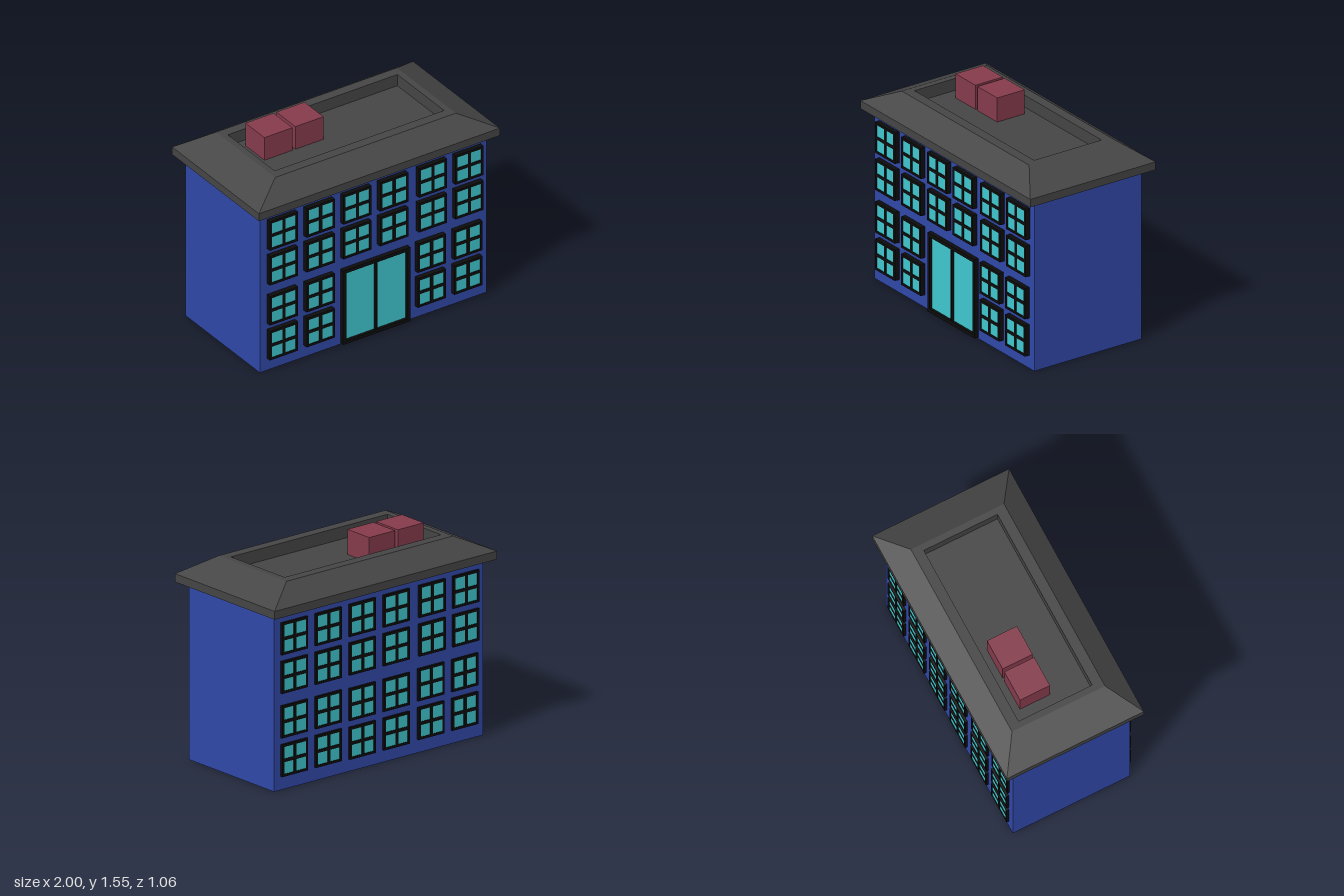
import * as THREE from 'three';

const paint = (color) => new THREE.MeshStandardMaterial({ color });

// Closed solid skinned through a stack of rectangles [halfX, y, halfZ]
function rectLoft(rings) {
  const pos = [];
  const corners = rings.map(([x, y, z]) => [[-x, y, z], [x, y, z], [x, y, -z], [-x, y, -z]]);
  const quad = (a, b, c, d) => pos.push(...a, ...b, ...c, ...a, ...c, ...d);
  for (let r = 0; r < corners.length - 1; r++) {
    for (let i = 0; i < 4; i++) {
      const j = (i + 1) % 4;
      quad(corners[r][i], corners[r][j], corners[r + 1][j], corners[r + 1][i]);
    }
  }
  const first = corners[0], last = corners[corners.length - 1];
  quad(first[3], first[2], first[1], first[0]);
  quad(last[0], last[1], last[2], last[3]);
  const geo = new THREE.BufferGeometry();
  geo.setAttribute('position', new THREE.Float32BufferAttribute(pos, 3));
  geo.computeVertexNormals();
  return geo;
}

// Frame centred on the origin, with cols x rows openings, back face at z = 0
function frameGeometry(w, h, depth, cols, rows, border, barX, barY) {
  const shape = new THREE.Shape([[-1, -1], [1, -1], [1, 1], [-1, 1]]
    .map(([x, y]) => new THREE.Vector2(x * w / 2, y * h / 2)));
  const pw = (w - 2 * border - (cols - 1) * barX) / cols;
  const ph = (h - 2 * border - (rows - 1) * barY) / rows;
  for (let c = 0; c < cols; c++) {
    for (let r = 0; r < rows; r++) {
      const x = -w / 2 + border + c * (pw + barX);
      const y = -h / 2 + border + r * (ph + barY);
      shape.holes.push(new THREE.Path([[x, y], [x, y + ph], [x + pw, y + ph], [x + pw, y]]
        .map(([a, b]) => new THREE.Vector2(a, b))));
    }
  }
  return new THREE.ExtrudeGeometry(shape, { depth, bevelEnabled: false });
}

export function createModel() {
  const model = new THREE.Group();
  const blue = paint(0x3048a8), grey = paint(0x454545), black = paint(0x0c0c0c);
  const cyan = paint(0x40c8d0), red = paint(0x853b4c);

  const add = (parent, name, geo, mat, x = 0, y = 0, z = 0) => {
    const mesh = new THREE.Mesh(geo, mat);
    mesh.name = name;
    mesh.position.set(x, y, z);
    parent.add(mesh);
    return mesh;
  };

  // Main block
  const wallZ = 0.453;
  add(model, 'walls', new THREE.BoxGeometry(1.88, 1.28, wallZ * 2), blue, 0, 0.64, 0);

  // Hipped roof with overhanging eaves and a sunken flat top
  add(model, 'roof', rectLoft([
    [1, 1.28, 0.53], [1, 1.34, 0.53], [0.75, 1.46, 0.36],
    [0.703, 1.46, 0.285], [0.703, 1.37, 0.285],
  ]), grey);

  // Rooftop units
  for (const x of [-0.485, -0.228]) {
    add(model, 'rooftopUnit', new THREE.BoxGeometry(0.233, 0.182, 0.232), red, x, 1.461, -0.105);
  }

  // Windows: six columns, four rows; the lower right ones sit slightly inward
  const columns = [-0.765, -0.46, -0.155, 0.15, 0.472, 0.775];
  const rows = [0.214, 0.495, 0.817, 1.097];
  const size = 0.233;
  function facade(name, depth, hasDoor) {
    const side = new THREE.Group();
    side.name = name;
    const frameGeo = frameGeometry(size, size, depth, 2, 2, 0.018, 0.024, 0.024);
    const glassGeo = new THREE.BoxGeometry(size - 0.02, size - 0.02, depth - 0.004);
    rows.forEach((y, r) => columns.forEach((cx, c) => {
      const middle = c === 2 || c === 3;
      if (hasDoor && r < 2 && middle) return;
      const x = cx - (r < 2 && c > 3 ? 0.01 : 0);
      const drop = r < 2 && middle ? 0.008 : 0;
      const win = new THREE.Group();
      win.name = 'window';
      win.position.set(x, y - drop, wallZ);
      add(win, 'windowFrame', frameGeo, black);
      add(win, 'windowGlass', glassGeo, cyan, 0, 0, (depth - 0.004) / 2);
      side.add(win);
    }));
    model.add(side);
    return side;
  }
  const front = facade('frontFacade', 0.038, true);
  facade('backFacade', 0.018, false).rotation.y = Math.PI;

  // Double entrance door
  const door = new THREE.Group();
  door.name = 'entranceDoor';
  door.position.set(0.007, 0.308, wallZ);
  add(door, 'doorFrame', frameGeometry(0.557, 0.595, 0.034, 2, 1, 0.027, 0.016, 0), black);
  add(door, 'doorGlass', new THREE.BoxGeometry(0.52, 0.56, 0.014), cyan, 0, 0, 0.007);
  front.add(door);

  return model;
}
